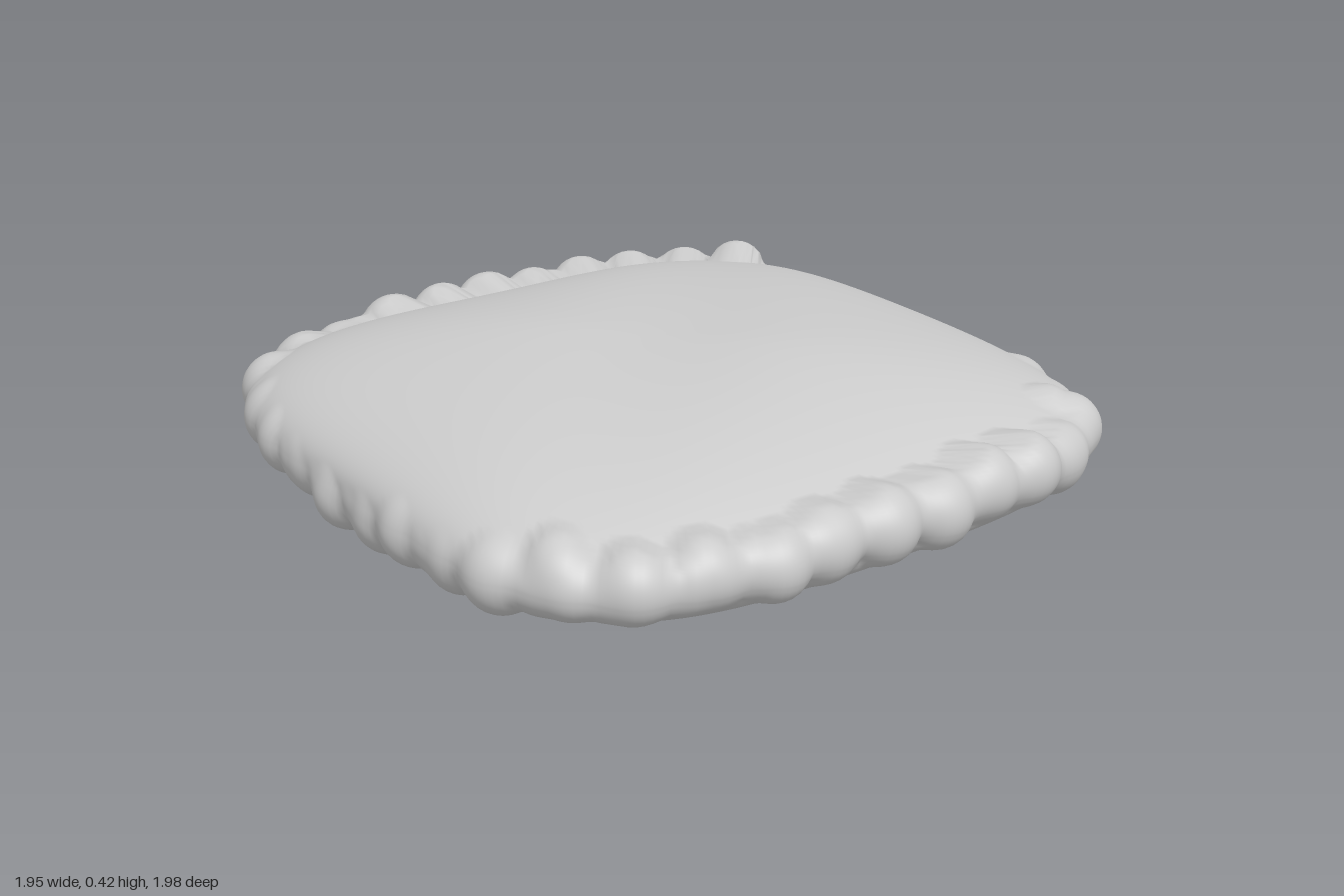
import * as THREE from 'three';
import { mergeVertices } from 'three/addons/utils/BufferGeometryUtils.js';

const HALF_X = 0.945, HALF_Z = 0.93, MID_Y = 0.2;

// Rounded-square outline: distance from centre to edge at an angle
const squareRadius = (a) => Math.pow(Math.cos(a) ** 4 + Math.sin(a) ** 4, -0.25);

// Larger of two values, with a soft fillet where they meet
function softMax(a, b, k) {
  const h = Math.max(k - Math.abs(a - b), 0) / k;
  return Math.max(a, b) + h * h * k / 4;
}

function seeded(seed) {
  let s = seed;
  return () => (s = (s * 16807) % 2147483647) / 2147483647;
}

// Centre line of the rim: lower at the two sides, higher at front and back
function rimPath() {
  const points = [];
  for (let i = 0; i < 64; i++) {
    const a = (i / 64) * Math.PI * 2, k = squareRadius(a);
    points.push(new THREE.Vector3(
      0.87 * k * Math.cos(a),
      0.202 - 0.026 * Math.cos(2 * a),
      0.886 * k * Math.sin(a)));
  }
  const curve = new THREE.CatmullRomCurve3(points, true);
  curve.arcLengthDivisions = 800;
  return curve;
}

// Round lumps along the rim, a finer chain that joins them, and three raised corner lumps
function rimLumps() {
  const path = rimPath(), rand = seeded(4217), count = 38;
  const lumps = [];
  for (let j = 0; j < count; j++) {
    const center = path.getPointAt((j + 0.57 + 0.2 * rand()) / count);
    const proud = (j % 2 === 0) === (center.x > 0);
    const scale = proud ? 1.008 : 0.992;
    center.x *= scale;
    center.z *= scale;
    center.y += 0.036 * (rand() - 0.5);
    lumps.push({ center, r: 0.089 + 0.013 * rand() });
  }
  for (let j = 0; j < count * 2; j++) {
    lumps.push({ center: path.getPointAt(j / (count * 2)), r: 0.078 });
  }
  for (const [x, y, z] of [[0.71, 0.24, 0.69], [0.79, 0.25, -0.69], [-0.77, 0.235, 0.66]]) {
    lumps.push({ center: new THREE.Vector3(x, y, z), r: 0.088 });
  }
  return lumps;
}

// Point on the puffy body for a unit-sphere point: domed, with a shallow diagonal valley
function bodyPoint(x0, y0, z0) {
  const a = Math.atan2(z0, x0), k = squareRadius(a);
  const x = HALF_X * k * x0, z = HALF_Z * k * z0;
  const lift = Math.abs(y0);
  const valley = 0.025 * lift * Math.exp(-(((x + z) / 0.35) ** 2));
  const edge = MID_Y + 0.02 * Math.cos(2 * a) * (1 - lift * lift);
  const y = y0 > 0
    ? edge + 0.24 * lift - valley - 0.02 * x * lift
    : edge - 0.195 * lift ** 0.8 + valley * 0.4;
  return new THREE.Vector3(x, y, z);
}

// One skin: the body, swollen outwards wherever a rim lump sticks out of it
function pillowGeometry() {
  const geo = new THREE.SphereGeometry(1, 360, 128);
  const pos = geo.attributes.position, lumps = rimLumps();
  const toLump = new THREE.Vector3();
  for (let i = 0; i < pos.count; i++) {
    const x0 = pos.getX(i), y0 = pos.getY(i), z0 = pos.getZ(i);
    const a = Math.atan2(z0, x0), k = 0.6 * squareRadius(a);
    const start = new THREE.Vector3(HALF_X * k * Math.cos(a), MID_Y, HALF_Z * k * Math.sin(a));
    const dir = bodyPoint(x0, y0, z0).sub(start);
    let reach = dir.length();
    dir.normalize();
    for (const { center, r } of lumps) {
      toLump.subVectors(center, start);
      const along = toLump.dot(dir);
      const h = r * r - toLump.lengthSq() + along * along;
      if (along > 0 && h > 0) reach = softMax(reach, along + Math.sqrt(h), 0.025);
    }
    start.addScaledVector(dir, reach);
    pos.setXYZ(i, start.x, start.y, start.z);
  }
  // Weld the seam for smooth normals
  geo.deleteAttribute('uv');
  geo.deleteAttribute('normal');
  const welded = mergeVertices(geo, 1e-5);
  welded.computeVertexNormals();
  return welded;
}

export function createModel() {
  const group = new THREE.Group();
  const pillow = new THREE.Mesh(
    pillowGeometry(),
    new THREE.MeshStandardMaterial({ color: 0xcccccc }));
  pillow.name = 'pillowWithLumpyRim';
  group.add(pillow);
  return group;
}
